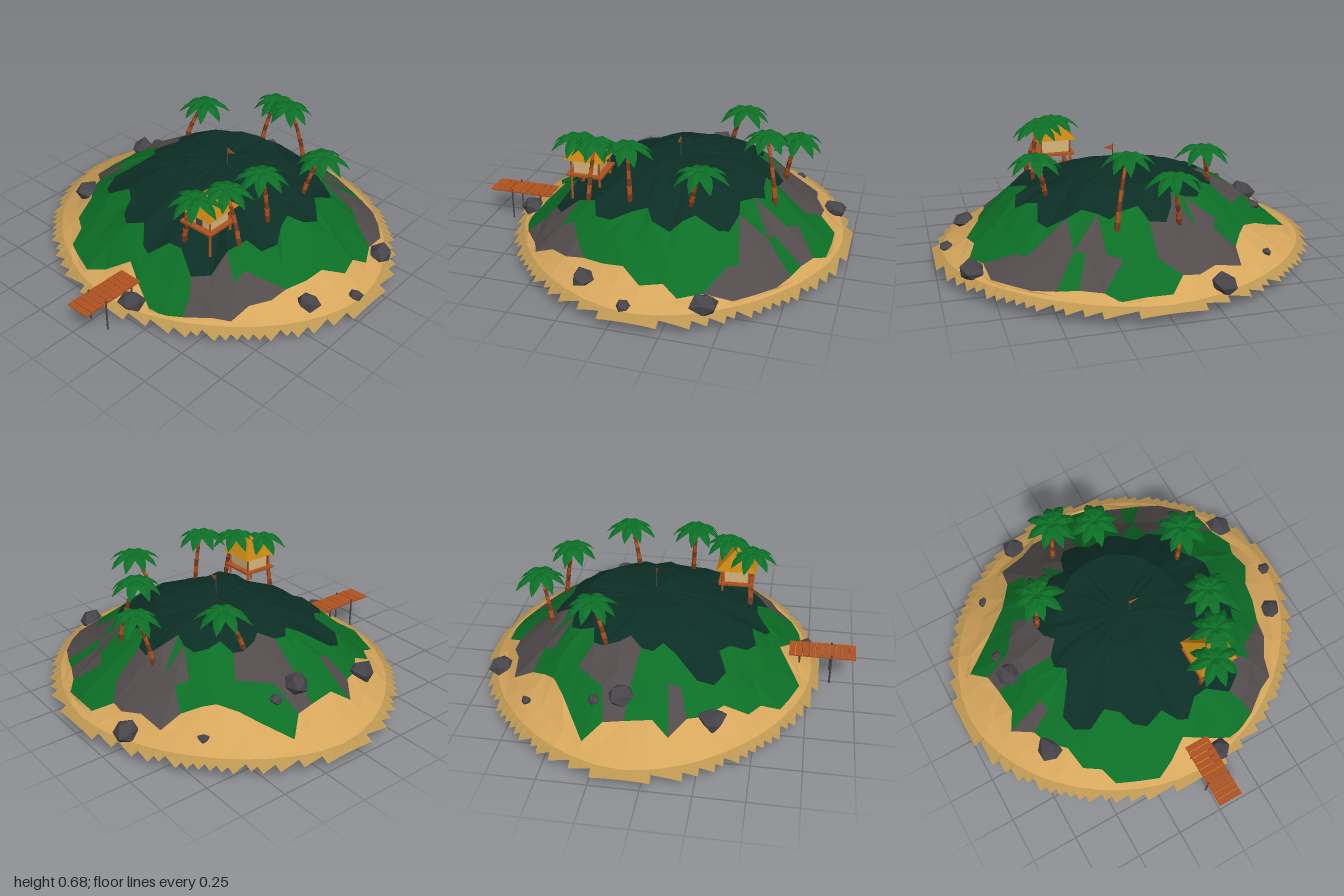
import * as THREE from 'three';

const mat = (name, color, side = THREE.FrontSide) => {
  const m = new THREE.MeshStandardMaterial({ color, side });
  m.name = name;
  return m;
};
const M = {
  sand: mat('sand', 0xd6a65c, THREE.DoubleSide),
  shore: mat('shore', 0xbd9752, THREE.DoubleSide),
  grass: mat('grass', 0x0c6e26, THREE.DoubleSide),
  jungle: mat('jungle', 0x0c2e25, THREE.DoubleSide),
  cliff: mat('cliff', 0x524b4b, THREE.DoubleSide),
  rock: mat('rock', 0x47454a),
  plank: mat('plank', 0xb0521f),
  roof: mat('roof', 0xc08012),
  wall: mat('wall', 0xd8b67c),
  trunk: mat('trunk', 0x7a3d1e),
};

let seed = 11;
const rand = () => (seed = (seed * 16807) % 2147483647) / 2147483647;
const V = (x, y, z) => new THREE.Vector3(x, y, z);
const add = (parent, name, geo, material, x = 0, y = 0, z = 0) => {
  const flat = geo.index ? geo.toNonIndexed() : geo;
  flat.computeVertexNormals();
  const mesh = new THREE.Mesh(flat, material);
  mesh.name = name;
  mesh.position.set(x, y, z);
  parent.add(mesh);
  return mesh;
};
const box = (p, name, m, w, h, d, x, y, z) => add(p, name, new THREE.BoxGeometry(w, h, d), m, x, y, z);
// straight tapered rod between two points
const rod = (p, name, m, a, b, r0, r1 = r0) => {
  const mesh = add(p, name, new THREE.CylinderGeometry(r1, r0, a.distanceTo(b), 6), m);
  mesh.position.copy(a).add(b).multiplyScalar(0.5);
  mesh.quaternion.setFromUnitVectors(V(0, 1, 0), b.clone().sub(a).normalize());
};

// hill height: a radial profile whose centre drifts back near the summit, plus a shoulder under the hut
const CZ = -0.095, RZ = 0.905;
const profile = [[0, 0.475], [0.12, 0.485], [0.27, 0.48], [0.41, 0.427], [0.5, 0.385], [0.6, 0.325], [0.75, 0.205], [0.88, 0.115], [1, 0.055], [2, -0.445]];
function height(x, z) {
  let s = 0.5;
  for (let i = 0; i < 14; i++) s = Math.hypot(x, (z - CZ + 0.3 * Math.max(0, 0.6 - s)) / RZ);
  const i = profile.findIndex((p, k) => s < profile[k + 1][0]);
  const [s0, y0] = profile[i], [s1, y1] = profile[i + 1];
  const shoulder = 0.055 * Math.exp(-((x - 0.4) ** 2 + (z - 0.32) ** 2) / 0.03);
  return y0 + (y1 - y0) * (s - s0) / (s1 - s0) + shoulder;
}
// radius of the island outline in a direction
const outline = (c, s) => (Math.abs(c) ** 1.85 + Math.abs(s / RZ) ** 1.85) ** (-1 / 1.85);

const N = 48;
// radius where jungle ends and where grass ends, every 15 degrees from +x toward +z
const jungleEdge = [.56, .53, .62, .61, .68, .57, .61, .58, .5, .6, .6, .41, .42, .42, .46, .45, .45, .47, .52, .48, .5, .54, .6, .55];
const grassEdge = [.83, .77, .81, .87, .86, .88, .69, .89, .83, .78, .74, .81, .74, .87, .71, .68, .78, .75, .81, .88, .8, .91, .88, .86];
// table value at the nodes; halfway between them the edge steps in or out
const lookup = (table, i, step) => {
  const a = table[i >> 1], b = table[((i >> 1) + 1) % table.length];
  return i % 2 ? (a + b) / 2 + step : a;
};
// outlines of the bare rock patches, seen from above
const cliffs = [
  [.72, .22, .72, .43, .42, .68, .33, .5, .5, .38], [.55, -.82, .86, -.45, .38, -.52, .42, -.7], [-.42, -.7, -.25, -.85, .02, -.8, -.02, -.62, -.12, -.52, -.3, -.55],
  [.3, -.92, .4, -.75, .38, -.55, .18, -.68], [-.72, -.12, -.6, -.32, -.44, -.36, -.42, -.06], [-.78, .12, -.56, .0, -.56, .14], [-.47, .2, -.36, .18, -.42, .3],
];
const inside = (poly, x, z) => {
  let hit = false;
  for (let i = 0, j = poly.length - 2; i < poly.length; j = i, i += 2)
    if ((poly[i + 1] > z) !== (poly[j + 1] > z) && x < (poly[j] - poly[i]) * (z - poly[i + 1]) / (poly[j + 1] - poly[i + 1]) + poly[i]) hit = !hit;
  return hit;
};

function buildIsland(root) {
  const tris = { sand: [], shore: [], grass: [], jungle: [], cliff: [] };
  const tri = (k, ...pts) => pts.forEach(p => tris[k].push(p.x, p.y, p.z));
  // a grass or jungle triangle turns to cliff when its middle lies in a patch
  const ground = (k, a, b, c) => {
    const x = (a.x + b.x + c.x) / 3, z = (a.z + b.z + c.z) / 3;
    tri(k !== 'sand' && cliffs.some(p => inside(p, x, z)) ? 'cliff' : k, a, b, c);
  };

  // rings of vertices from the summit to the beach
  const rings = Array.from({ length: 8 }, (_, k) => Array.from({ length: N }, (_, i) => {
    const a = i / N * Math.PI * 2;
    const E = outline(Math.cos(a), Math.sin(a));
    const J = lookup(jungleEdge, i, i % 4 === 1 ? -0.05 : 0.03);
    const G = Math.min(lookup(grassEdge, i, -0.03), 0.93 * E);
    const r = [0, 0.18, 0.34, J, (J + G) / 2, G, (G + 0.955 * E) / 2, 0.955 * E][k];
    const wob = [0, 0.01, 0.014, 0.02, 0.025, 0.02, 0.012, 0][k];
    const b = a + (k === 7 ? 0 : (rand() - 0.5) * 0.07), rr = r + (rand() - 0.5) * wob;
    const x = rr * Math.cos(b), z = CZ + rr * Math.sin(b);
    return V(x, height(x, z) + (rand() - 0.5) * wob, z);
  }));
  ['jungle', 'jungle', 'jungle', 'grass', 'grass', 'sand', 'sand'].forEach((band, k) => {
    const I = rings[k], O = rings[k + 1];
    for (let i = 0; i < N; i++) {
      const j = (i + 1) % N;
      if (k === 0) ground(band, I[0], O[j], O[i]);
      else if (i % 2) { ground(band, I[i], I[j], O[i]); ground(band, I[j], O[j], O[i]); }
      else { ground(band, I[i], I[j], O[j]); ground(band, I[i], O[j], O[i]); }
    }
  });

  // stepped shoreline
  const shore = [];
  let px = null, pz = null;
  for (let i = 0; i <= 720; i++) {
    const c = Math.cos(i / 360 * Math.PI), s = Math.sin(i / 360 * Math.PI), E = outline(c, s);
    const x = Math.round(E * c * 25) * 0.04, z = CZ + Math.round(E * s / RZ * 25) * RZ / 25;
    if (x === px && z === pz) continue;
    if (px !== null && x !== px && z !== pz) shore.push(V(x, height(x, pz), pz));
    shore.push(V(x, height(x, z), z));
    px = x; pz = z;
  }
  const inner = shore.map(p => {
    const d = Math.hypot(p.x, p.z - CZ), c = p.x / d, s = (p.z - CZ) / d, r = 0.92 * outline(c, s);
    return V(r * c, height(r * c, CZ + r * s) - 0.008, CZ + r * s);
  });
  for (let i = 0; i < shore.length - 1; i++) {
    tri('shore', inner[i], inner[i + 1], shore[i]);
    tri('shore', inner[i + 1], shore[i + 1], shore[i]);
  }

  for (const k in tris) {
    const g = new THREE.BufferGeometry();
    g.setAttribute('position', new THREE.Float32BufferAttribute(tris[k], 3));
    add(root, k + 'Ground', g, M[k]);
  }
}

// one crown of drooping, folded leaves
function crownGeometry() {
  const pos = [], spine = [[0, 0, .008], [.03, .014, .024], [.07, .008, .031], [.105, -.018, .022], [.135, -.058, .001]];
  for (let n = 0; n < 8; n++) {
    const a = (n + rand() * 0.3) / 8 * Math.PI * 2, c = Math.cos(a), s = Math.sin(a), len = 0.92 + rand() * 0.2;
    const at = ([r, y, w], side) => [r * len * c - side * w * s, y - Math.abs(side) * w * 0.4, r * len * s + side * w * c];
    for (let k = 0; k < 4; k++) for (const e of [-1, 0]) {
      const i0 = at(spine[k], e), i1 = at(spine[k], e + 1), o0 = at(spine[k + 1], e), o1 = at(spine[k + 1], e + 1);
      pos.push(...i0, ...i1, ...o0, ...i1, ...o1, ...o0);
    }
  }
  const g = new THREE.BufferGeometry();
  g.setAttribute('position', new THREE.Float32BufferAttribute(pos, 3));
  return g;
}

function buildPalm(root, [x, y, z, bx, bz]) {
  const palm = new THREE.Group();
  palm.name = 'palm';
  const base = V(bx, height(bx, bz) - 0.01, bz), top = V(x, y, z);
  const bend = V((x + bx * 3) / 4, (y + base.y) / 2, (z + bz * 3) / 4);
  const pts = new THREE.QuadraticBezierCurve3(base, bend, top).getPoints(7);
  for (let i = 0; i < 7; i++)
    rod(palm, 'trunkSegment', i % 2 ? M.plank : M.trunk, pts[i], pts[i + 1], 0.012 - i * 0.0008, 0.015 - i * 0.001);
  add(palm, 'leaves', crownGeometry(), M.grass, x, y, z);
  root.add(palm);
}

function buildHut(root) {
  const hut = new THREE.Group();
  hut.name = 'hut';
  hut.position.set(0.285, 0, 0.325);
  for (const x of [-0.08, 0.08]) for (const z of [-0.075, 0.075]) {
    rod(hut, 'stilt', M.plank, V(x, height(x + 0.285, z + 0.325) - 0.01, z), V(x, 0.45, z), 0.007);
    rod(hut, 'cornerPost', M.plank, V(x, 0.45, z), V(x, 0.54, z), 0.005);
  }
  box(hut, 'floor', M.plank, 0.2, 0.012, 0.19, 0, 0.451, 0);
  box(hut, 'walls', M.wall, 0.15, 0.085, 0.125, 0, 0.498, 0);
  box(hut, 'door', M.rock, 0.04, 0.068, 0.005, 0, 0.491, 0.064);
  const roof = new THREE.ConeGeometry(0.153, 0.1, 4);
  roof.rotateY(Math.PI / 4);
  add(hut, 'roof', roof, M.roof, 0, 0.585, 0);
  root.add(hut);
}

function buildDock(root) {
  const dock = new THREE.Group();
  dock.name = 'dock';
  for (let i = 0; i < 10; i++) box(dock, 'plank', M.plank, 0.135, 0.005, 0.033, 0.05, 0.165 + (i % 3) * 0.001, 0.659 + i * 0.036);
  for (const x of [-0.012, 0.112]) {
    box(dock, 'beam', M.plank, 0.005, 0.004, 0.35, x, 0.161, 0.82);
    for (const [z, foot, top] of [[0.7, 0.09, 0.165], [0.87, 0, 0.178]]) rod(dock, 'post', M.rock, V(x, foot, z), V(x, top, z), 0.005);
  }
  root.add(dock);
}

function buildRock(root, [x, z, r]) {
  const g = new THREE.IcosahedronGeometry(r, 0), p = g.attributes.position;
  const off = rand() * 9;
  for (let i = 0; i < p.count; i++) {
    // same offset for corners that share a place
    const k = 1.08 + 0.2 * Math.sin(off + p.getX(i) / r * 5 + p.getY(i) / r * 3 + p.getZ(i) / r * 7);
    p.setXYZ(i, p.getX(i) * k, p.getY(i) * k * 0.75, p.getZ(i) * k);
  }
  add(root, 'rock', g, M.rock, x, height(x, z) + r * 0.2, z).rotation.y = off;
}

export function createModel() {
  const root = new THREE.Group();
  root.name = 'island';
  buildIsland(root);
  // crown x, y, z and foot x, z
  [[-.35, .61, -.35, -.41, -.27], [-.09, .59, -.68, -.14, -.62], [.1, .665, -.55, .17, -.62], [.5, .615, -.31, .44, -.25],
    [.42, .665, .08, .45, .06], [.35, .635, .27, .45, .28], [.27, .61, .4, .2, .41]].forEach(p => buildPalm(root, p));
  buildHut(root);
  buildDock(root);
  [[-.28, -.88, .06], [-.59, -.65, .028], [.84, -.42, .062], [.93, -.06, .037], [.81, .18, .058], [.14, .73, .068],
    [-.66, .3, .066], [-.66, -.15, .06], [-.67, -.28, .033]].forEach(r => buildRock(root, r));
  // summit flag with a three-cornered pennant
  rod(root, 'flagPole', M.rock, V(0.05, 0.46, -0.09), V(0.05, 0.59, -0.09), 0.003);
  const pennant = new THREE.CylinderGeometry(0.02, 0.02, 0.004, 3);
  pennant.rotateX(Math.PI / 2).rotateZ(Math.PI / 2).scale(1.6, 0.8, 1);
  add(root, 'flag', pennant, M.plank, 0.068, 0.572, -0.09);
  return root;
}
